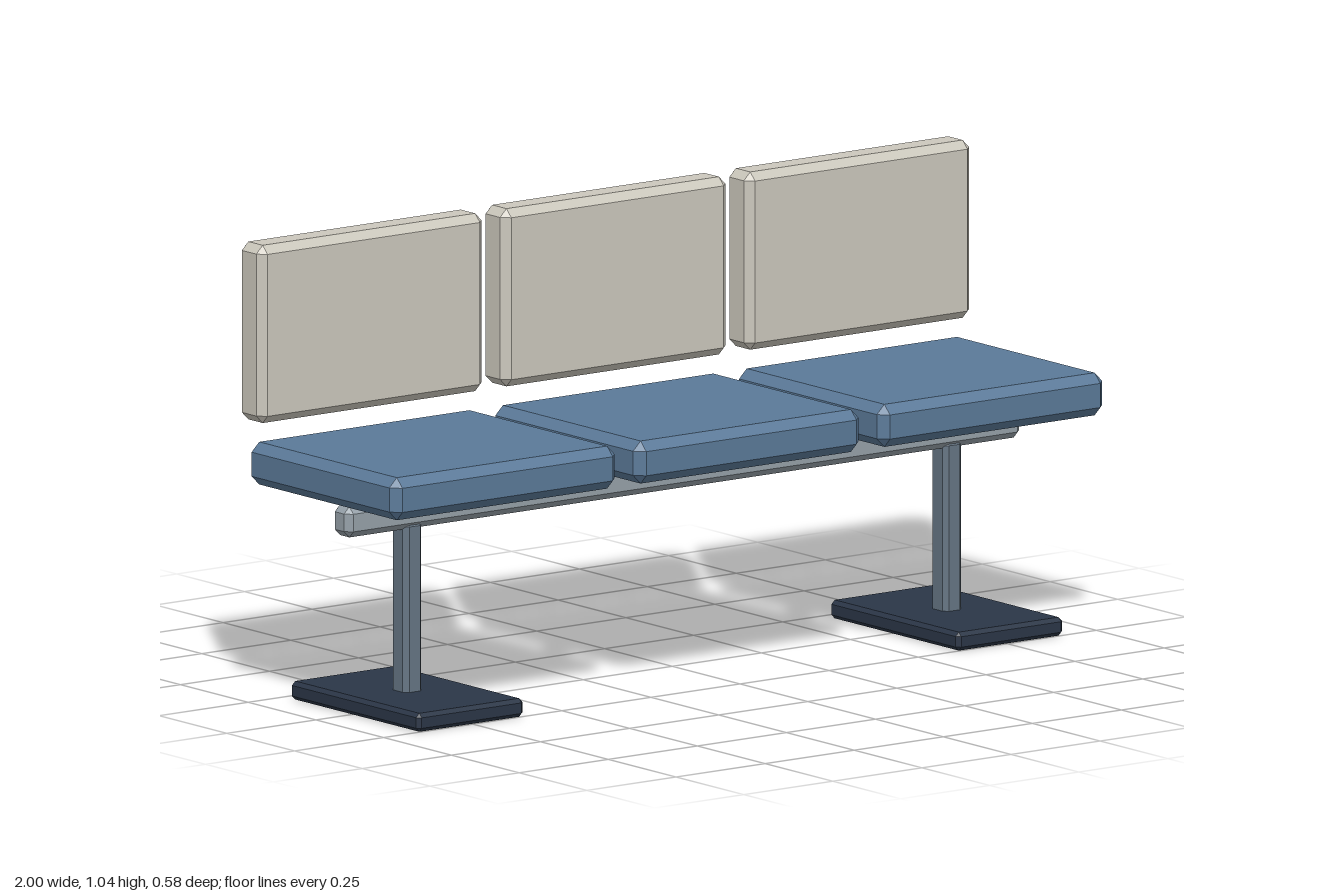
import * as THREE from 'three';
import { ConvexGeometry } from 'three/addons/geometries/ConvexGeometry.js';

// Box with every edge bevelled flat and every corner cut to a triangle
function bevelledBox(w, h, d, c) {
  const points = [];
  const [x, y, z] = [w / 2, h / 2, d / 2];
  for (const i of [-1, 1]) for (const j of [-1, 1]) for (const k of [-1, 1]) {
    points.push(
      new THREE.Vector3(i * x, j * (y - c), k * (z - c)),
      new THREE.Vector3(i * (x - c), j * y, k * (z - c)),
      new THREE.Vector3(i * (x - c), j * (y - c), k * z)
    );
  }
  return new ConvexGeometry(points);
}

const paint = (color) => new THREE.MeshStandardMaterial({ color, flatShading: true });

export function createModel() {
  const bench = new THREE.Group();
  bench.name = 'bench';

  const seatBlue = paint(0x5b7a99);
  const backCream = paint(0xccc8bd);
  const beamGrey = paint(0x96a1a9);
  const postGrey = paint(0x667684);
  const baseDark = paint(0x2b3647);

  const add = (name, geometry, material, x, y, z) => {
    const mesh = new THREE.Mesh(geometry, material);
    mesh.name = name;
    mesh.position.set(x, y, z);
    bench.add(mesh);
  };

  const midZ = 0.017;

  // Three seat cushions with floating backrests
  const seat = bevelledBox(0.632, 0.097, 0.55, 0.021);
  const back = bevelledBox(0.632, 0.405, 0.089, 0.018);
  ['right', 'middle', 'left'].forEach((side, i) => {
    const x = (i - 1) * 0.684;
    add(`${side}Seat`, seat, seatBlue, x, 0.5445, midZ);
    add(`${side}Backrest`, back, backCream, x, 0.8415, -0.2465);
  });

  // Beam under the seats
  add('beam', bevelledBox(1.894, 0.07, 0.064, 0.015), beamGrey, 0, 0.448, midZ);

  // Two posts standing on flat base plates
  const post = bevelledBox(0.052, 0.405, 0.058, 0.011);
  const base = bevelledBox(0.298, 0.042, 0.476, 0.009);
  for (const [side, s] of [['left', 1], ['right', -1]]) {
    add(`${side}Post`, post, postGrey, s * 0.757, 0.2275, midZ);
    add(`${side}Base`, base, baseDark, s * 0.757, 0.021, midZ);
  }

  return bench;
}
